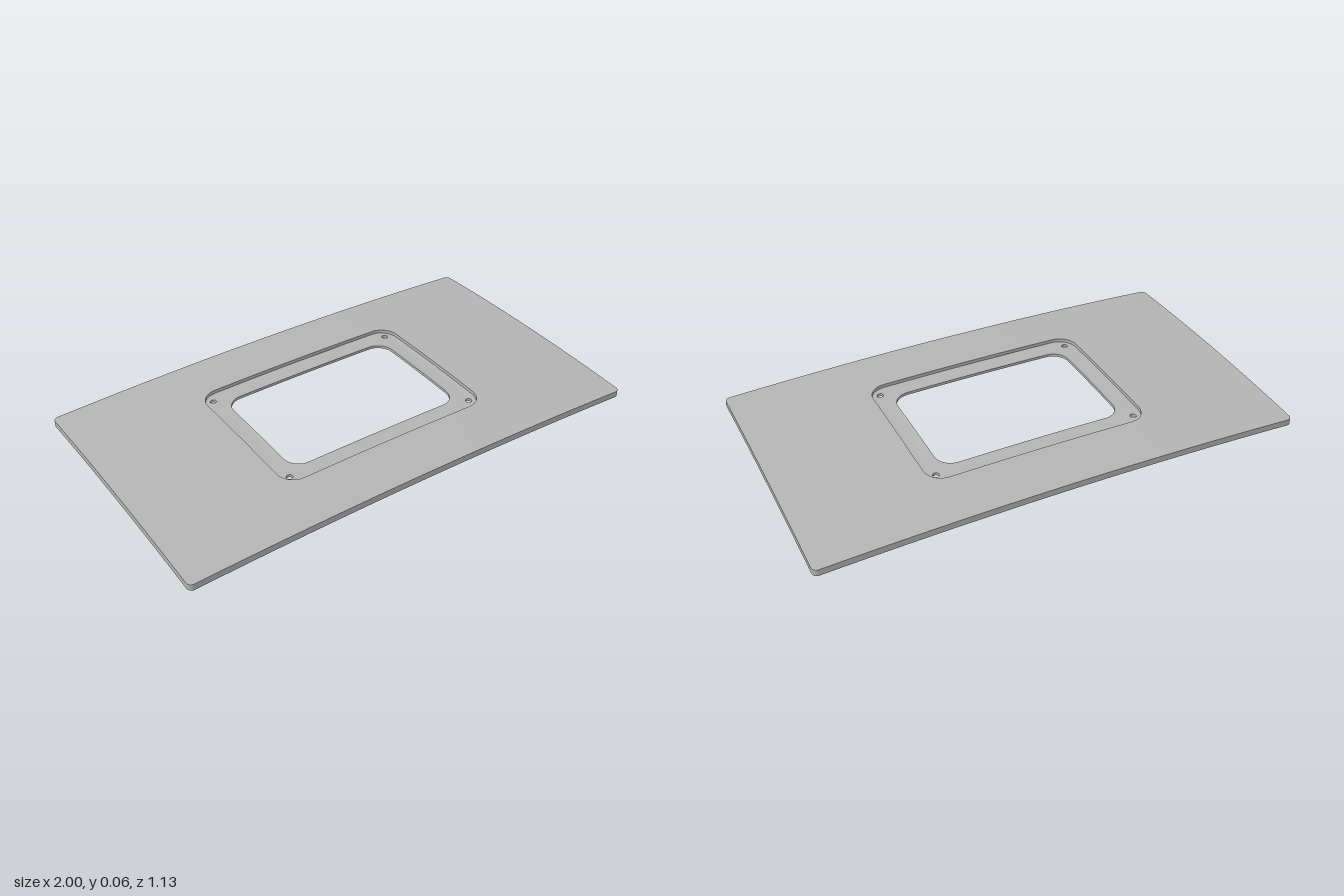
import * as THREE from 'three';

const THICK = 0.027, RECESS = 0.015;

// Gently domed surfaces: y as a function of x and z
const topY = (x, z) => 0.066 - 0.025 * x * x - 0.044 * z * z;
const floorY = (x, z) => topY(x, z) - RECESS;
const underY = (x, z) => Math.max(0, topY(x, z) - THICK);

// Rounded rectangle as a loop of [x, z], with straight sides subdivided
function outline(hx, hz, r, arc = 8, side = 24) {
  const corners = [[1, 1], [-1, 1], [-1, -1], [1, -1]];
  const pts = [];
  corners.forEach(([sx, sz], c) => {
    const cx = sx * (hx - r), cz = sz * (hz - r);
    for (let i = 0; i <= arc; i++) {
      const a = (c + i / arc) * Math.PI / 2;
      pts.push([cx + r * Math.cos(a), cz + r * Math.sin(a)]);
    }
    const [nx, nz] = corners[(c + 1) % 4];
    const a = (c + 1) * Math.PI / 2;
    const [x0, z0] = pts[pts.length - 1];
    const x1 = nx * (hx - r) + r * Math.cos(a), z1 = nz * (hz - r) + r * Math.sin(a);
    for (let i = 1; i < side; i++) {
      const t = i / side;
      pts.push([x0 + (x1 - x0) * t, z0 + (z1 - z0) * t]);
    }
  });
  return pts;
}

function circle(cx, cz, r, n = 20) {
  return Array.from({ length: n }, (_, i) => {
    const a = i / n * Math.PI * 2;
    return [cx + r * Math.cos(a), cz + r * Math.sin(a)];
  });
}

// Closed strip between two matching loops, each lying on a height function
function loft(a, ya, b, yb, steps = 1) {
  const pos = [], idx = [], n = a.length;
  for (let s = 0; s <= steps; s++) {
    const t = s / steps;
    a.forEach(([ax, az], i) => {
      const x = ax + (b[i][0] - ax) * t, z = az + (b[i][1] - az) * t;
      pos.push(x, ya(x, z) * (1 - t) + yb(x, z) * t, z);
    });
  }
  for (let s = 0; s < steps; s++) {
    for (let i = 0; i < n; i++) {
      const j = (i + 1) % n, p = s * n, q = p + n;
      idx.push(p + i, q + i, p + j, p + j, q + i, q + j);
    }
  }
  const g = new THREE.BufferGeometry();
  g.setAttribute('position', new THREE.Float32BufferAttribute(pos, 3));
  g.setIndex(idx);
  g.computeVertexNormals();
  return g;
}

// Flat ring with holes, draped over a height function
function drapedRing(outer, holes, y, faceUp) {
  const vec = loop => loop.map(([x, z]) => new THREE.Vector2(x, z));
  const shape = new THREE.Shape(vec(outer));
  holes.forEach(h => shape.holes.push(new THREE.Path(vec(h))));
  const g = new THREE.ShapeGeometry(shape);
  const p = g.attributes.position;
  for (let i = 0; i < p.count; i++) {
    const x = p.getX(i), z = p.getY(i);
    p.setXYZ(i, x, y(x, z), z);
  }
  if (faceUp) g.index.array.reverse();
  g.computeVertexNormals();
  return g;
}

export function createModel() {
  const group = new THREE.Group();
  group.name = 'domedPanel';
  const grey = new THREE.MeshStandardMaterial({ color: 0xb4b4b4 });
  grey.name = 'panelGrey';
  const add = (name, geometry) => {
    const mesh = new THREE.Mesh(geometry, grey);
    mesh.name = name;
    group.add(mesh);
  };

  const rim = outline(1, 0.565, 0.022);
  const recess = outline(0.467, 0.335, 0.075);
  const opening = outline(0.39, 0.255, 0.07);
  const screws = [];
  for (const sx of [-1, 1]) for (const sz of [-1, 1]) screws.push(circle(sx * 0.427, sz * 0.287, 0.013));

  // Panel skin
  add('outerEdge', loft(rim, underY, rim, topY));
  add('topSurface', loft(rim, topY, recess, topY, 14));
  add('underside', loft(recess, underY, rim, underY, 14));

  // Recessed ledge around the window
  add('recessWall', loft(recess, topY, recess, floorY));
  add('recessFloor', drapedRing(recess, [opening, ...screws], floorY, true));
  add('openingWall', loft(opening, floorY, opening, underY));
  add('undersideRing', drapedRing(recess, [opening, ...screws], underY, false));

  // Screw holes
  screws.forEach(s => add('screwHole', loft(s, floorY, s, underY)));
  return group;
}
